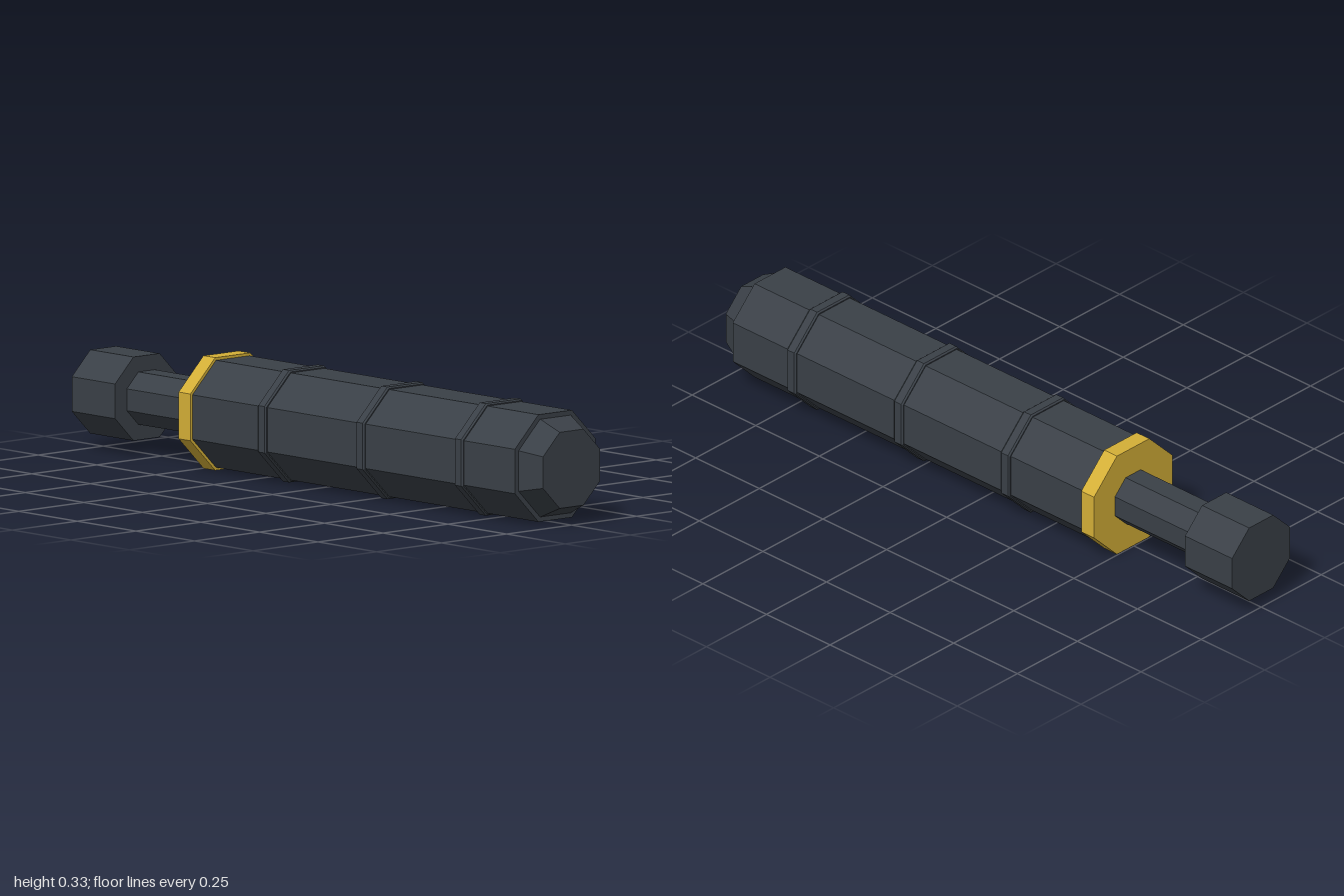
import * as THREE from 'three';

const AXIS_Y = 0.163;
const SIDES = 8;

export function createModel() {
  const group = new THREE.Group();
  const gunmetal = new THREE.MeshStandardMaterial({ color: 0x3a4047, flatShading: true });
  gunmetal.name = 'gunmetal';
  const gold = new THREE.MeshStandardMaterial({ color: 0xd4af37, flatShading: true });
  gold.name = 'gold';

  // Flat-topped octagonal solid along x; profile is [x, half height across flats]
  function octagon(name, material, profile) {
    const k = 1 / Math.cos(Math.PI / SIDES);
    const points = [
      [profile[0][0], 0], ...profile, [profile[profile.length - 1][0], 0],
    ].map(([x, r]) => new THREE.Vector2(r * k, x));
    const geometry = new THREE.LatheGeometry(points, SIDES, Math.PI / SIDES);
    geometry.rotateZ(-Math.PI / 2);
    const mesh = new THREE.Mesh(geometry, material);
    mesh.name = name;
    mesh.position.y = AXIS_Y;
    group.add(mesh);
  }

  // Plunger at the rear
  octagon('plungerKnob', gunmetal, [[-1, 0.121], [-0.815, 0.121]]);
  octagon('plungerRod', gunmetal, [[-0.82, 0.076], [-0.48, 0.076]]);

  // Gold ring between plunger and barrel
  octagon('collar', gold, [[-0.497, 0.163], [-0.447, 0.163]]);

  // Barrel and tapered end cap
  octagon('barrel', gunmetal, [[-0.46, 0.155], [0.93, 0.155]]);
  octagon('endCap', gunmetal, [[0.92, 0.141], [0.932, 0.141], [1, 0.11]]);

  // Raised grip bands with small bevels
  for (const x of [-0.145, 0.275, 0.695]) {
    octagon('gripBand', gunmetal, [
      [x - 0.018, 0.15], [x - 0.018, 0.158], [x - 0.013, 0.162],
      [x + 0.013, 0.162], [x + 0.018, 0.158], [x + 0.018, 0.15],
    ]);
  }

  return group;
}
